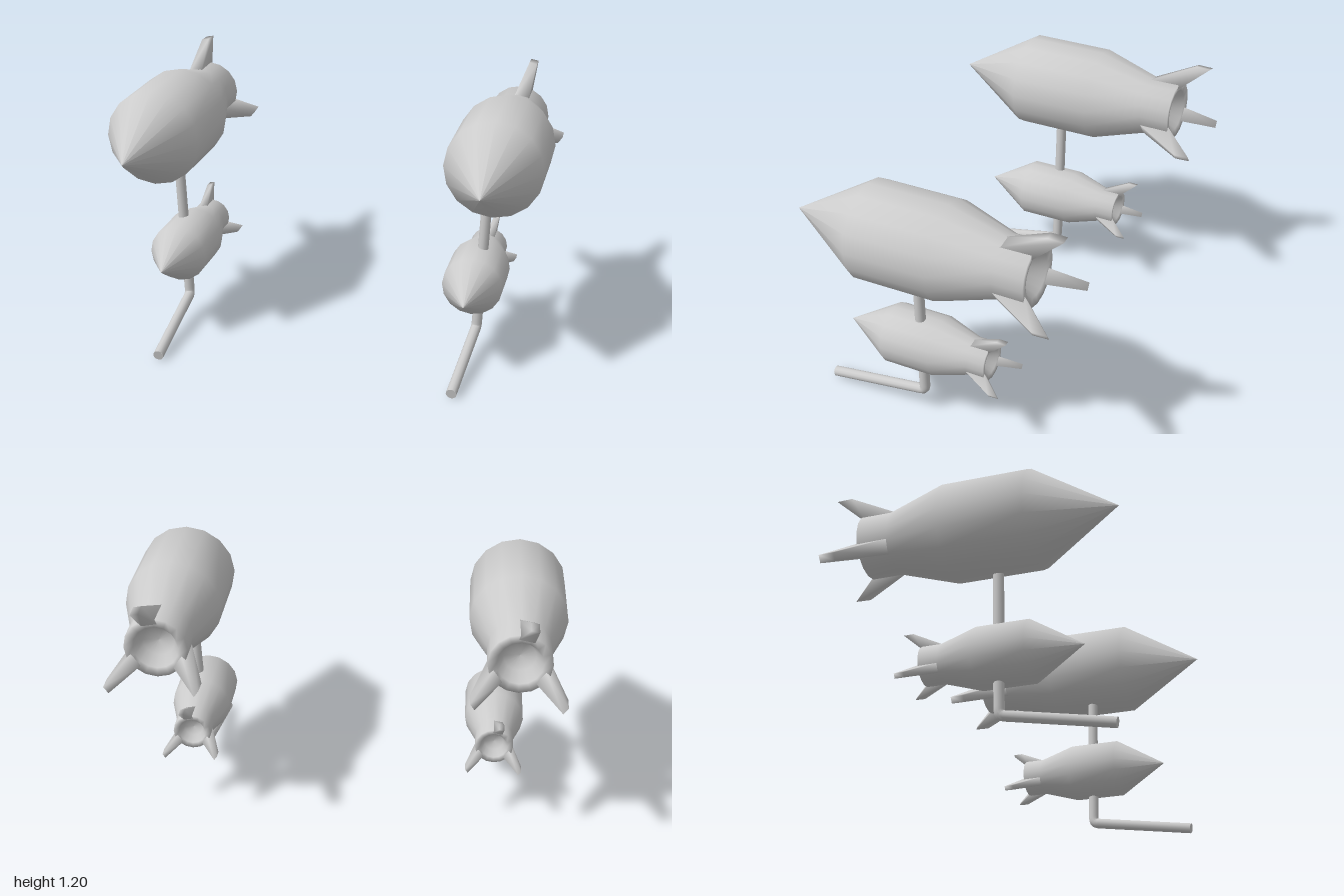
import * as THREE from 'three';
import { mergeVertices } from 'three/addons/utils/BufferGeometryUtils.js';

const material = new THREE.MeshStandardMaterial({ color: 0xcccccc });
const doubleSided = new THREE.MeshStandardMaterial({ color: 0xcccccc, side: THREE.DoubleSide });

function part(name, geometry, mat = material) {
  const mesh = new THREE.Mesh(geometry, mat);
  mesh.name = name;
  return mesh;
}

// Hull turned around z: recessed nozzle, tail, belly, pointed nose
function hullGeometry() {
  const profile = [
    [0, -0.42], [0.07, -0.43], [0.1, -0.495], [0.14, -0.5],
    [0.14, -0.36], [0.22, -0.1], [0.22, 0.28], [0, 0.64],
  ].map(([r, z]) => new THREE.Vector2(r, z));
  return new THREE.LatheGeometry(profile, 16).rotateX(Math.PI / 2);
}

// Swept fin pointing up +y: a box whose corners taper from root to tip
function finGeometry() {
  let g = new THREE.BoxGeometry(2, 2, 2);
  g.deleteAttribute('uv');
  g.deleteAttribute('normal');
  g = mergeVertices(g);
  const p = g.attributes.position;
  for (let i = 0; i < p.count; i++) {
    const tip = p.getY(i) > 0;
    const front = p.getZ(i) > 0;
    const x = p.getX(i) * (tip ? 0.018 : 0.035);
    const y = tip ? (front ? 0.24 : 0.238) : (front ? 0.125 : 0.11);
    const z = tip ? (front ? -0.57 : -0.64) : (front ? -0.34 : -0.495);
    p.setXYZ(i, x, y, z);
  }
  g.computeVertexNormals();
  return g;
}

// Rocket with three fins; side mirrors the fin angles
function rocket(name, side) {
  const group = new THREE.Group();
  group.name = name;
  group.add(part('hull', hullGeometry()));
  for (const degrees of [-11, 125, -125]) {
    const fin = part('fin', finGeometry());
    fin.rotation.z = side * THREE.MathUtils.degToRad(degrees);
    group.add(fin);
  }
  return group;
}

// Bent rod passing through the small rocket and ending in front
function rod(side) {
  const group = new THREE.Group();
  group.name = 'rod';
  const v = (x, y, z) => new THREE.Vector3(side * x, y, z);
  const top = v(0.735, 0.85, 0.09), bendStart = v(0.708, 0.14, 0.09);
  const bendEnd = v(0.704, 0.11, 0.115), end = v(0.682, 0.028, 0.583);
  const path = new THREE.CurvePath();
  path.add(new THREE.LineCurve3(top, bendStart));
  path.add(new THREE.QuadraticBezierCurve3(bendStart, v(0.706, 0.112, 0.09), bendEnd));
  path.add(new THREE.LineCurve3(bendEnd, end));
  group.add(part('rodTube', new THREE.TubeGeometry(path, 100, 0.024, 12), doubleSided));
  const cap = part('rodCap', new THREE.CircleGeometry(0.024, 12));
  cap.position.copy(end);
  cap.lookAt(end.clone().multiplyScalar(2).sub(bendEnd));
  group.add(cap);
  return group;
}

export function createModel() {
  const model = new THREE.Group();
  model.name = 'rocketPair';
  for (const side of [1, -1]) {
    const assembly = new THREE.Group();
    assembly.name = side > 0 ? 'leftAssembly' : 'rightAssembly';

    const large = rocket('largeRocket', side);
    large.position.set(side * 0.78, 0.97, 0);

    const small = rocket('smallRocket', side);
    small.scale.setScalar(0.62);
    small.position.set(side * 0.7, 0.388, 0.062);

    assembly.add(large, small, rod(side));
    model.add(assembly);
  }
  return model;
}
